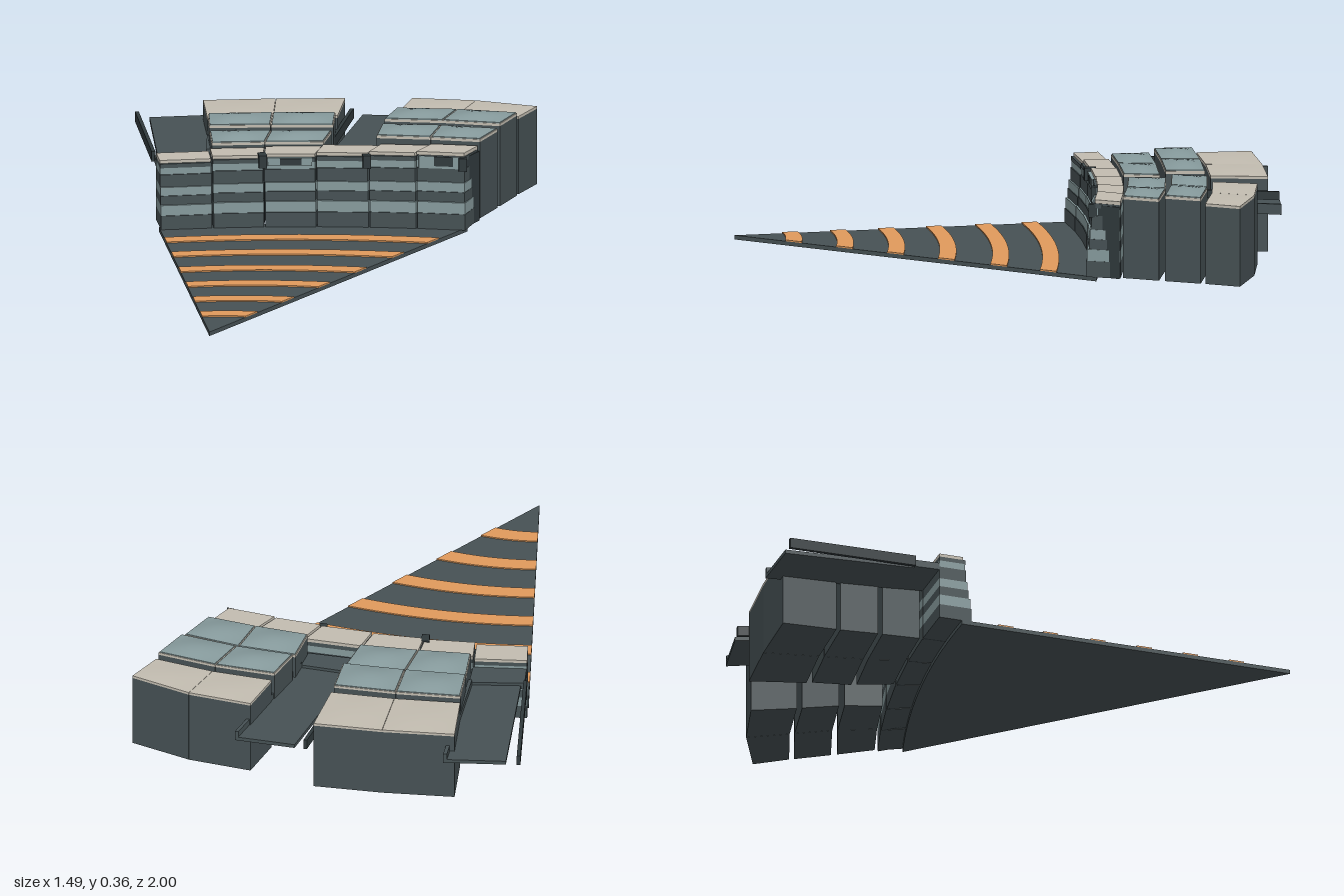
import * as THREE from 'three';

const mat = (color) => new THREE.MeshStandardMaterial({ color });
const slate = mat(0x465154), glass = mat(0x869a9c), cream = mat(0xc2bcb0), orange = mat(0xe09a5c), dark = mat(0x30393c);

// Box bent onto a four-cornered plan [backLeft, backRight, frontLeft, frontRight] of [x, z], top may swell
function block(name, q, y0, y1, material, bulge = 0) {
  const n = bulge ? 8 : 1;
  const g = new THREE.BoxGeometry(1, 1, 1, n, 1, n);
  const p = g.attributes.position;
  for (let i = 0; i < p.count; i++) {
    const u = p.getX(i) + 0.5, v = p.getZ(i) + 0.5, top = p.getY(i) > 0;
    const mix = (k) => (q[0][k] * (1 - u) + q[1][k] * u) * (1 - v) + (q[2][k] * (1 - u) + q[3][k] * u) * v;
    const swell = bulge * Math.sin(Math.PI * u) * Math.sin(Math.PI * v);
    p.setXYZ(i, mix(0), top ? y1 + swell : y0, mix(1));
  }
  g.computeVertexNormals();
  const m = new THREE.Mesh(g, material);
  m.name = name;
  return m;
}

// Pull a plan's corners toward its middle
function shrink(q, f) {
  const c = [0, 1].map((k) => (q[0][k] + q[1][k] + q[2][k] + q[3][k]) / 4);
  return q.map((a) => [c[0] + (a[0] - c[0]) * f, c[1] + (a[1] - c[1]) * f]);
}

// Thin strip running between two points on plan
function strip(name, a, b, w, y0, y1, material) {
  return block(name, [[a[0] - w / 2, a[1]], [a[0] + w / 2, a[1]], [b[0] - w / 2, b[1]], [b[0] + w / 2, b[1]]], y0, y1, material);
}

// Curved band of the wedge forecourt, scaled about its tip
function band(name, s0, s1, y, h, material) {
  const at = (t, s) => new THREE.Vector2(-0.745 + s * t * 1.152, -1 + s * (1.315 - 0.175 * t * t));
  const pts = [];
  for (let i = 0; i <= 20; i++) pts.push(at(1 - i / 20, s1));
  if (s0 === 0) pts.push(at(0, 0));
  else for (let i = 0; i <= 20; i++) pts.push(at(i / 20, s0));
  const g = new THREE.ExtrudeGeometry(new THREE.Shape(pts), { depth: h, bevelEnabled: false });
  g.rotateX(-Math.PI / 2);
  const m = new THREE.Mesh(g, material);
  m.name = name;
  m.position.y = y;
  return m;
}

function forecourt() {
  const g = new THREE.Group();
  g.name = 'forecourt';
  g.add(band('groundPlate', 0, 1, 0, 0.016, slate));
  for (const d of [0.245, 0.43, 0.615, 0.8, 0.99, 1.17])
    g.add(band('orangeStripe', (d - 0.06) / 1.315, d / 1.315, 0.016, 0.005, orange));
  return g;
}

// Curved front row: stepped, banded bays with pale roofs
function frontRow() {
  const g = new THREE.Group();
  g.name = 'frontRow';
  const fx = [-0.745, -0.545, -0.35, -0.155, 0.04, 0.215, 0.395];
  const bx = [-0.745, -0.54, -0.33, -0.115, 0.1, 0.285, 0.46];
  const fz = (x) => -0.31 + (x + 0.75) ** 2 / 7.6;
  const bz = (x) => -0.405 + (x + 0.75) ** 2 / 8;
  // [bottom, top, forward step, material]
  const bands = [
    [0.016, 0.07, 0.034, slate], [0.07, 0.11, 0.03, glass], [0.11, 0.145, 0.022, slate], [0.145, 0.178, 0.018, glass],
    [0.178, 0.226, 0.012, slate], [0.226, 0.252, 0.007, glass], [0.252, 0.268, 0.01, slate], [0.268, 0.28, 0, cream],
  ];
  for (let i = 0; i < 6; i++) {
    const k = [1, 1.035, 1.05, 1.07, 1.09, 1.11][i], gap = 0.003;
    const plan = (o) => [
      [bx[i] + gap, bz(bx[i])], [bx[i + 1] - gap, bz(bx[i + 1])],
      [fx[i] + gap, fz(fx[i]) + o], [fx[i + 1] - gap, fz(fx[i + 1]) + o],
    ];
    for (const [a, b, o, m] of bands)
      g.add(block(m === cream ? 'frontRoof' : m === glass ? 'windowBand' : 'wallBand', plan(o), i && a > 0.02 ? a * k : a, b * k, m));
    // Joint behind the bay gap
    const x = fx[i + 1];
    g.add(strip('bayJoint', [bx[i + 1], bz(bx[i + 1]) + 0.005], [x, fz(x) - 0.004], 0.008, 0.016, 0.262 * k, dark));
  }
  // Loggias and fins below the eaves
  const box = (name, x0, x1, y0, y1, o, m) =>
    g.add(block(name, [[x0, fz(x0) - 0.02], [x1, fz(x1) - 0.02], [x0, fz(x0) + o], [x1, fz(x1) + o]], y0, y1, m));
  box('palePanel', -0.335, -0.17, 0.25, 0.282, 0.014, glass);
  box('loggia', -0.29, -0.21, 0.255, 0.28, 0.018, dark);
  box('palePanel', 0.225, 0.375, 0.25, 0.297, 0.014, glass);
  box('loggia', 0.28, 0.35, 0.26, 0.297, 0.018, dark);
  for (const x of [-0.355, 0.033, 0.385]) box('fin', x - 0.015, x + 0.015, 0.245, 0.295, 0.025, dark);
  return g;
}

// Rows of paired cells; each row: back points, front points, eaves height, glazed or not
function cellBlock(name, rows) {
  const g = new THREE.Group();
  g.name = name;
  for (const [back, front, h, glazed] of rows)
    for (let c = 0; c < 2; c++) {
      const q = shrink([back[c], back[c + 1], front[c], front[c + 1]], 0.995);
      g.add(block('cellWalls', q, 0.02, h - 0.01, slate));
      g.add(block('roofSlab', q, h - 0.01, h, cream, glazed ? 0 : 0.004));
      if (glazed) g.add(block('glassRoof', shrink(q, 0.97), h - 0.002, h + 0.004, glass, 0.014));
    }
  return g;
}

// Raised access road with a ramp at its inner end and a rail on each side
function road(name, q, ramp, railA, railB, edgeA, edgeB) {
  const g = new THREE.Group();
  g.name = name;
  g.add(block('deck', q, 0.215, 0.23, slate));
  g.add(block('rampEnd', ramp, 0.215, 0.242, slate));
  g.add(strip('outerRail', railA, railB, 0.014, 0.215, 0.255, dark));
  g.add(strip('edgeRail', edgeA, edgeB, 0.014, 0.215, 0.255, slate));
  return g;
}

export function createModel() {
  const model = new THREE.Group();
  model.name = 'wedgeBuilding';
  model.add(forecourt(), frontRow());
  model.add(cellBlock('centreBlock', [
    [[[-0.485, -0.94], [-0.21, -0.92], [0.05, -0.885]], [[-0.5, -0.73], [-0.25, -0.71], [-0.01, -0.675]], 0.308, false],
    [[[-0.5, -0.715], [-0.255, -0.692], [-0.02, -0.657]], [[-0.517, -0.57], [-0.285, -0.545], [-0.05, -0.51]], 0.325, true],
    [[[-0.517, -0.553], [-0.285, -0.528], [-0.06, -0.492]], [[-0.53, -0.408], [-0.33, -0.39], [-0.11, -0.362]], 0.308, true],
  ]));
  model.add(cellBlock('leftBlock', [
    [[[0.29, -0.79], [0.525, -0.725], [0.742, -0.62]], [[0.215, -0.632], [0.44, -0.58], [0.655, -0.505]], 0.328, false],
    [[[0.205, -0.615], [0.43, -0.565], [0.647, -0.49]], [[0.14, -0.49], [0.355, -0.44], [0.565, -0.37]], 0.346, true],
    [[[0.13, -0.472], [0.347, -0.422], [0.552, -0.35]], [[0.088, -0.335], [0.287, -0.285], [0.467, -0.23]], 0.332, true],
  ]));
  model.add(road('rightRoad',
    [[-0.68, -1], [-0.45, -0.995], [-0.728, -0.41], [-0.537, -0.41]],
    [[-0.735, -0.5], [-0.525, -0.5], [-0.74, -0.4], [-0.537, -0.4]],
    [-0.728, -1], [-0.738, -0.5], [-0.45, -0.995], [-0.53, -0.5]));
  model.add(road('leftRoad',
    [[0.12, -0.915], [0.345, -0.87], [-0.1, -0.385], [0.09, -0.34]],
    [[-0.07, -0.445], [0.115, -0.405], [-0.108, -0.36], [0.088, -0.325]],
    [0.08, -0.92], [-0.085, -0.46], [0.34, -0.87], [0.115, -0.405]));
  return model;
}
